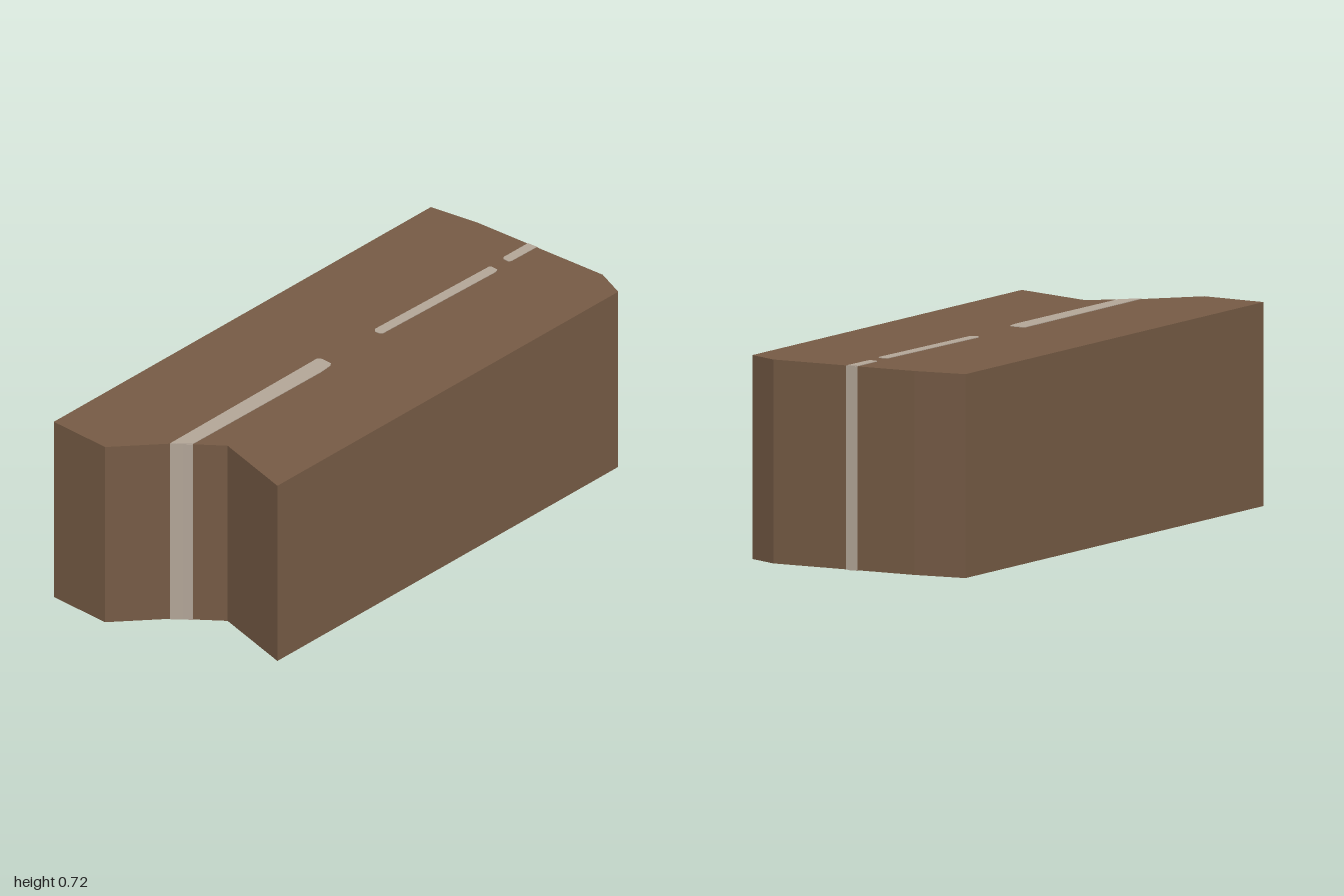
import * as THREE from 'three';

const HEIGHT = 0.715;
const SKIN = 0.002; // thickness of the painted plates

// Block outline and dash outlines as [x, z] points
const OUTLINE = [
  [-1, -0.428], [0.92, -0.428], [0.955, -0.24], [1, 0.31], [0.955, 0.425],
  [-0.78, 0.425], [-0.705, 0.12], [-0.8, 0], [-0.83, -0.035], [-1, -0.185],
];
const DASHES = [
  [[-0.83, -0.035], [-0.08, -0.04], [-0.068, -0.03], [-0.068, 0.017], [-0.08, 0.025],
    [-0.13, 0.03], [-0.78, 0.025], [-0.8, 0]],
  [[0.19, -0.015], [0.2, -0.025], [0.77, -0.013], [0.775, -0.008], [0.775, 0.021],
    [0.76, 0.027], [0.2, 0.014], [0.19, 0.006]],
  [[0.84, -0.01], [0.85, -0.019], [0.973, -0.019], [0.977, 0.02], [0.85, 0.018], [0.84, 0.01]],
];

// Upright prism over an [x, z] outline
function prism(name, points, y, height, material) {
  const shape = new THREE.Shape(points.map(([x, z]) => new THREE.Vector2(x, -z)));
  const geometry = new THREE.ExtrudeGeometry(shape, { depth: height, bevelEnabled: false });
  geometry.rotateX(-Math.PI / 2);
  geometry.translate(0, y, 0);
  const mesh = new THREE.Mesh(geometry, material);
  mesh.name = name;
  return mesh;
}

// Thin upright strip following a wall; side is the outward x direction
function wallStrip(name, points, side, material) {
  const outer = points.map(([x, z]) => [x + side * SKIN, z]).reverse();
  return prism(name, [...points, ...outer], 0, HEIGHT, material);
}

export function createModel() {
  const brown = new THREE.MeshStandardMaterial({ color: 0x765b45 });
  brown.name = 'brown';
  const pale = new THREE.MeshStandardMaterial({ color: 0xb3a698 });
  pale.name = 'paleStripe';

  const model = new THREE.Group();
  model.name = 'brokenBlock';
  model.add(prism('block', OUTLINE, 0, HEIGHT, brown));

  // Dashes on the top and underside
  DASHES.forEach((points, i) => {
    model.add(prism(`topDash${i + 1}`, points, HEIGHT, SKIN, pale));
    model.add(prism(`bottomDash${i + 1}`, points, -SKIN, SKIN, pale));
  });

  // Stripes running down both end walls
  model.add(wallStrip('leftEndStripe', [[0.973, -0.019], [0.977, 0.026]], 1, pale));
  model.add(wallStrip('notchStripe', [[-0.83, -0.035], [-0.8, 0], [-0.78, 0.025]], -1, pale));

  return model;
}
